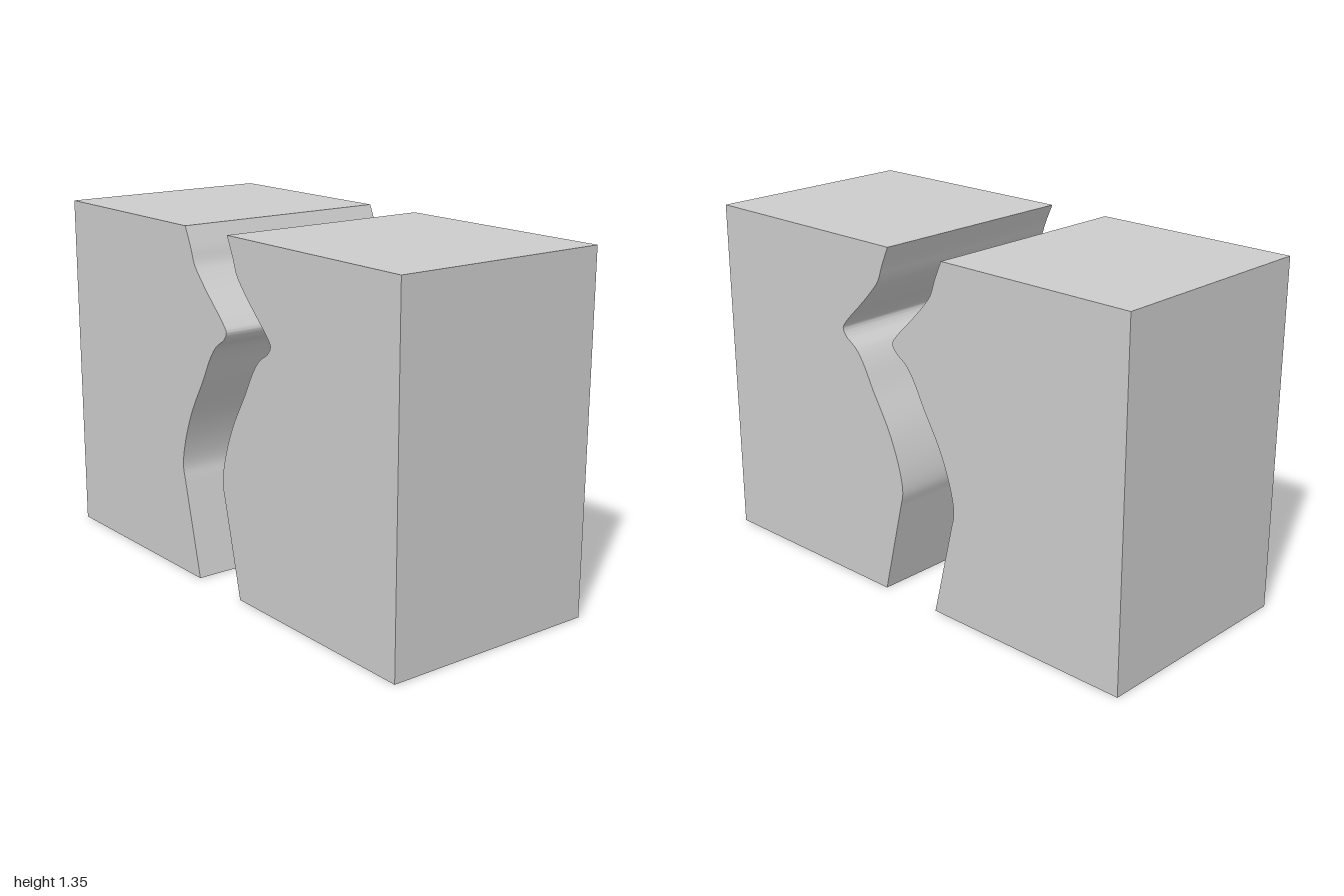
import * as THREE from 'three';
import { toCreasedNormals } from 'three/addons/utils/BufferGeometryUtils.js';

const HEIGHT = 1.35, DEPTH = 0.87, GAP = 0.264;

// Fracture line on the right-hand half, from bottom to top
const FRACTURE = [
  [-0.135, 0], [-0.185, 0.21], [-0.222, 0.365], [-0.235, 0.425], [-0.222, 0.51],
  [-0.17, 0.65], [-0.09, 0.79], [-0.036, 0.89], [0, 0.935], [0.052, 0.972],
  [0.066, 1.0], [0.043, 1.033], [-0.03, 1.105], [-0.09, 1.167], [-0.13, 1.217],
  [-0.152, 1.275], [-0.185, HEIGHT],
];

// Block bounded by an upright outer wall and the wavy fracture face
function makeHalf(name, outerX, shift) {
  const curve = new THREE.CatmullRomCurve3(
    FRACTURE.map(([x, y]) => new THREE.Vector3(x + shift, y, 0)), false, 'centripetal');
  const edge = curve.getPoints((FRACTURE.length - 1) * 6).map((p) => new THREE.Vector2(p.x, p.y));
  const shape = new THREE.Shape([
    new THREE.Vector2(outerX, 0), ...edge, new THREE.Vector2(outerX, HEIGHT),
  ]);
  const geometry = new THREE.ExtrudeGeometry(shape, { depth: DEPTH, bevelEnabled: false });
  geometry.translate(0, 0, -DEPTH / 2);
  const mesh = new THREE.Mesh(
    toCreasedNormals(geometry, Math.PI / 6),
    new THREE.MeshStandardMaterial({ color: 0xcccccc }));
  mesh.name = name;
  return mesh;
}

export function createModel() {
  const group = new THREE.Group();
  group.name = 'splitBlock';
  group.add(makeHalf('rightHalf', -1, 0), makeHalf('leftHalf', 1, GAP));
  return group;
}
